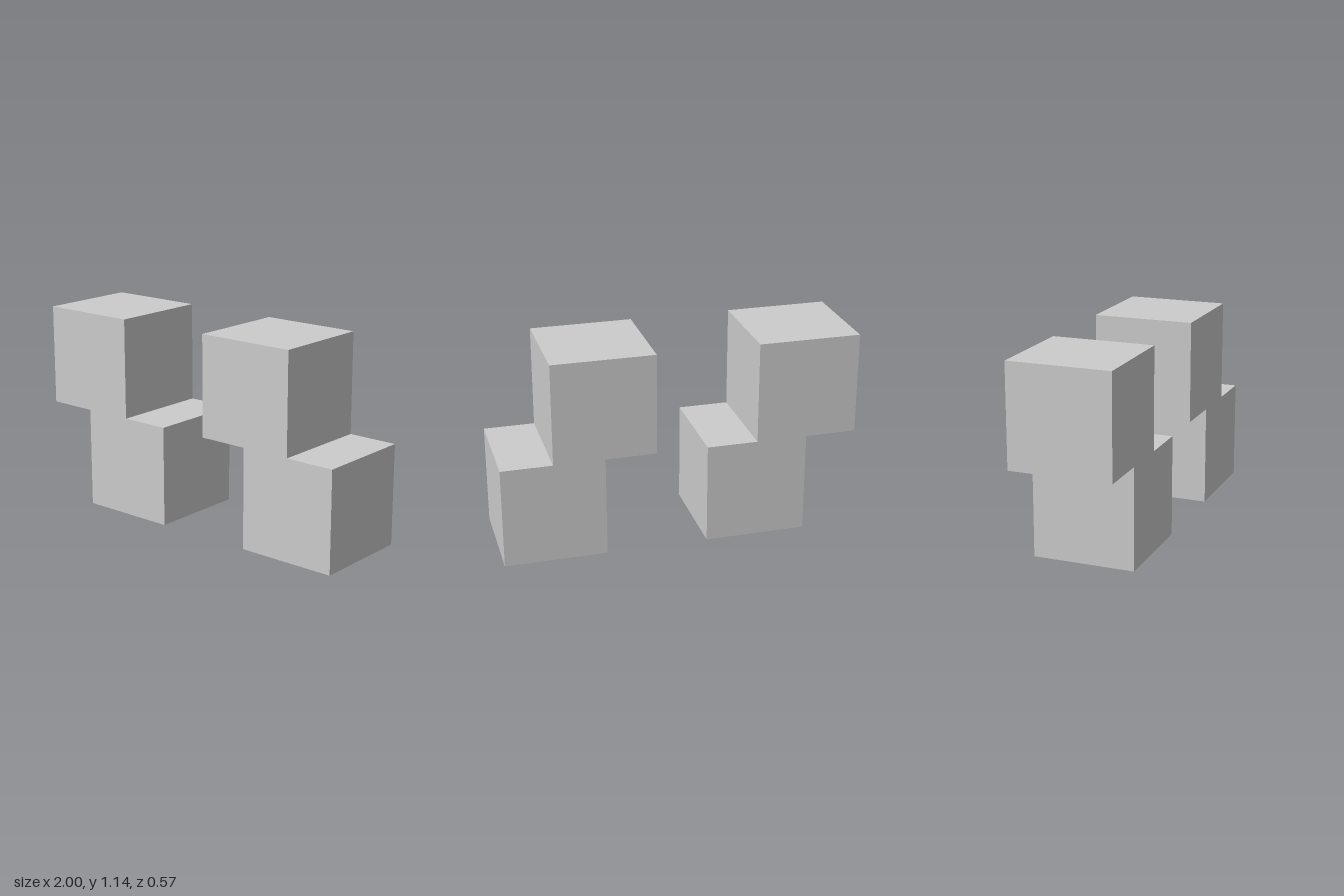
import * as THREE from 'three';

const U = 2 / 7; // half the side of one cube

// Two cubes stacked with a half-cube sideways step, as one solid outline
function steppedBlockGeometry() {
  const outline = [
    [1, 0], [3, 0], [3, 2], [2, 2], [2, 4], [0, 4], [0, 2], [1, 2],
  ].map(([x, y]) => new THREE.Vector2((x - 1.5) * U, y * U));
  const geometry = new THREE.ExtrudeGeometry(new THREE.Shape(outline), {
    depth: 2 * U,
    bevelEnabled: false,
  });
  return geometry.translate(0, 0, -U);
}

export function createModel() {
  const model = new THREE.Group();
  model.name = 'steppedBlocks';
  const material = new THREE.MeshStandardMaterial({ color: 0xcccccc, flatShading: true });
  const geometry = steppedBlockGeometry();

  // Identical pair, one cube-half apart
  for (const [name, x] of [['rightSteppedBlock', -2 * U], ['leftSteppedBlock', 2 * U]]) {
    const block = new THREE.Mesh(geometry, material);
    block.name = name;
    block.position.x = x;
    model.add(block);
  }
  return model;
}
